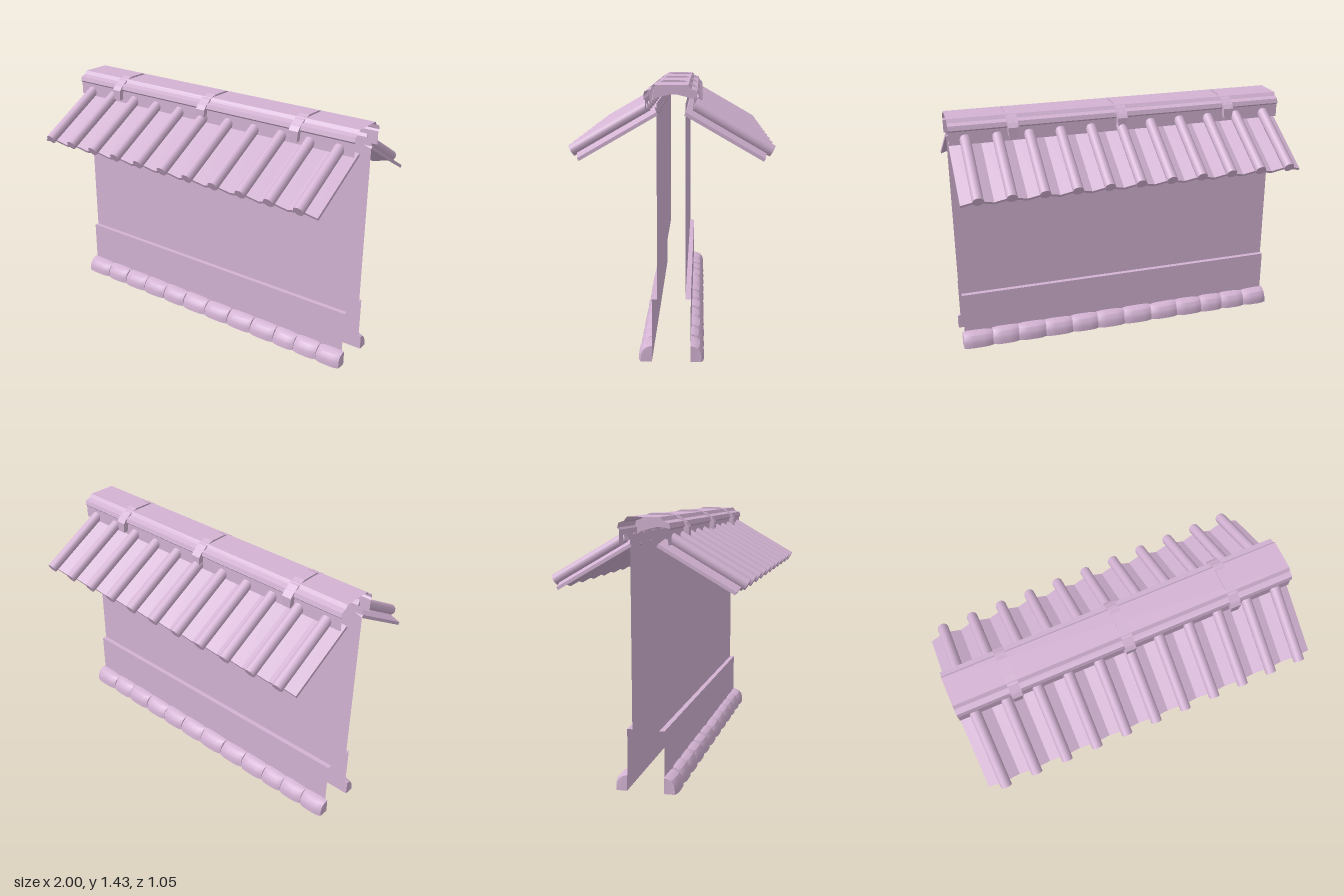
import * as THREE from 'three';

const solid = new THREE.MeshStandardMaterial({ color: 0xd3b3d3 });
const thin = new THREE.MeshStandardMaterial({ color: 0xd3b3d3, side: THREE.DoubleSide });

function add(parent, name, geometry, material = solid) {
  const mesh = new THREE.Mesh(geometry, material);
  mesh.name = name;
  parent.add(mesh);
  return mesh;
}

// Thin sheet: a [z, y] profile swept along x from -half to half, with sharp folds
function sheet(profile, half) {
  const pos = [];
  for (let i = 0; i < profile.length - 1; i++) {
    const [z0, y0] = profile[i], [z1, y1] = profile[i + 1];
    const a = [-half, y0, z0], b = [-half, y1, z1], c = [half, y1, z1], d = [half, y0, z0];
    pos.push(...a, ...b, ...c, ...a, ...c, ...d);
  }
  const g = new THREE.BufferGeometry();
  g.setAttribute('position', new THREE.Float32BufferAttribute(pos, 3));
  g.computeVertexNormals();
  return g;
}

// Small seeded generator for the uneven stones
function seeded(seed) {
  return () => (seed = (seed * 16807) % 2147483647) / 2147483647;
}

// Stone with a rounded front and a slightly uneven, sloping top
function stoneGeometry(w, rand) {
  const h = 0.09, d = 0.07;
  const g = new THREE.BoxGeometry(w, h, d, 6, 4, 3);
  const p = g.attributes.position;
  const tilt = (rand() - 0.5) * 0.012, lean = rand() * 0.008;
  for (let i = 0; i < p.count; i++) {
    const fx = p.getX(i) / (w / 2), fy = p.getY(i) / h + 0.5, fz = p.getZ(i) / d + 0.5;
    const x = p.getX(i) * (1 - 0.04 * fz * fy);
    const y = fy * (h - 0.014 * fz * fz - 0.006 * fx ** 4 - Math.abs(tilt) / 2 + tilt * fx / 2);
    const z = fz * (d - 0.012 * fx ** 4 - 0.02 * fy ** 4 - lean * fy);
    p.setXYZ(i, x, y, z);
  }
  g.computeVertexNormals();
  return g;
}

// One slope of tiles; local z runs down the slope, local y is its normal
function tileSlope() {
  const slope = new THREE.Group();
  slope.name = 'tileSlope';
  slope.rotation.x = Math.PI / 6;
  const pitch = 0.18, half = 5.5 * pitch, top = -0.58, end = -0.123;

  // Folded pan tiles: crests under the rolls, valleys between
  const upper = [], lower = [];
  for (let i = 0; i <= 22; i++) {
    const x = -half + i * pitch / 2;
    const y = i % 2 ? 1.16 : 1.134;
    lower.push(new THREE.Vector2(x, y));
    upper.unshift(new THREE.Vector2(x, y + 0.017));
  }
  const pans = new THREE.ExtrudeGeometry(new THREE.Shape([...lower, ...upper]),
    { depth: end - top, bevelEnabled: false });
  pans.translate(0, 0, top);
  add(slope, 'panTiles', pans);

  // Round cover tiles over every crest
  const rollTop = -0.555, rollEnd = -0.102;
  const roll = new THREE.CylinderGeometry(0.031, 0.031, rollEnd - rollTop, 12);
  roll.rotateX(Math.PI / 2);
  for (let i = -5; i <= 5; i++) {
    add(slope, 'coverTile', roll).position.set(i * pitch, 1.195, (rollTop + rollEnd) / 2);
  }
  return slope;
}

// One face of the wall with its plinth, footing stones and roof slope
function wallSide(seed) {
  const side = new THREE.Group();
  side.name = 'wallSide';
  add(side, 'wallPanel', sheet([[0.072, 1.33], [0.072, 0.33]], 0.985), thin);
  add(side, 'plinth', sheet([[0.072, 0.33], [0.1, 0.33], [0.1, 0]], 0.985), thin);

  const joints = [-1, -0.82, -0.66, -0.49, -0.32, -0.155, 0.02, 0.2, 0.375, 0.545, 0.69, 0.845, 1];
  const rand = seeded(seed);
  for (let i = 0; i < joints.length - 1; i++) {
    const w = joints[i + 1] - joints[i];
    add(side, 'footingStone', stoneGeometry(w, rand))
      .position.set((joints[i] + joints[i + 1]) / 2, 0, 0.1);
  }
  side.add(tileSlope());
  return side;
}

// Mirrors a half profile across z = 0, running from back to front
const mirrored = half => [...half.map(([z, y]) => [-z, y]), ...half.slice().reverse()];

export function createModel() {
  const model = new THREE.Group();
  model.name = 'tiledWall';

  const front = wallSide(71), back = wallSide(1234);
  back.rotation.y = Math.PI;
  model.add(front, back);

  // Ridge cap: flat top, moulded shoulder and straight skirt
  const cap = [[0.127, 1.28], [0.127, 1.355], [0.137, 1.365], [0.13, 1.39], [0.1, 1.4], [0.085, 1.42]];
  add(model, 'ridgeCap', sheet(mirrored(cap), 0.992), thin);

  // Arched straps clamped over the ridge
  const outer = [[0.155, 1.3], [0.158, 1.36], [0.14, 1.382], [0.1, 1.412], [0.05, 1.43]];
  const inner = [[0.12, 1.3], [0.11, 1.33], [0.06, 1.345], [0.02, 1.355]];
  const outline = [...mirrored(outer), ...mirrored(inner).reverse()]
    .map(([z, y]) => new THREE.Vector2(-z, y));
  const strap = new THREE.ExtrudeGeometry(new THREE.Shape(outline), { depth: 0.06, bevelEnabled: false });
  strap.translate(0, 0, -0.03);
  strap.rotateY(Math.PI / 2);
  // Narrow the strap towards its feet
  const p = strap.attributes.position;
  for (let i = 0; i < p.count; i++) {
    if (p.getY(i) < 1.32) p.setX(i, p.getX(i) * 0.75);
  }
  strap.computeVertexNormals();
  for (const x of [-0.66, 0, 0.635]) add(model, 'ridgeStrap', strap).position.x = x;

  return model;
}
